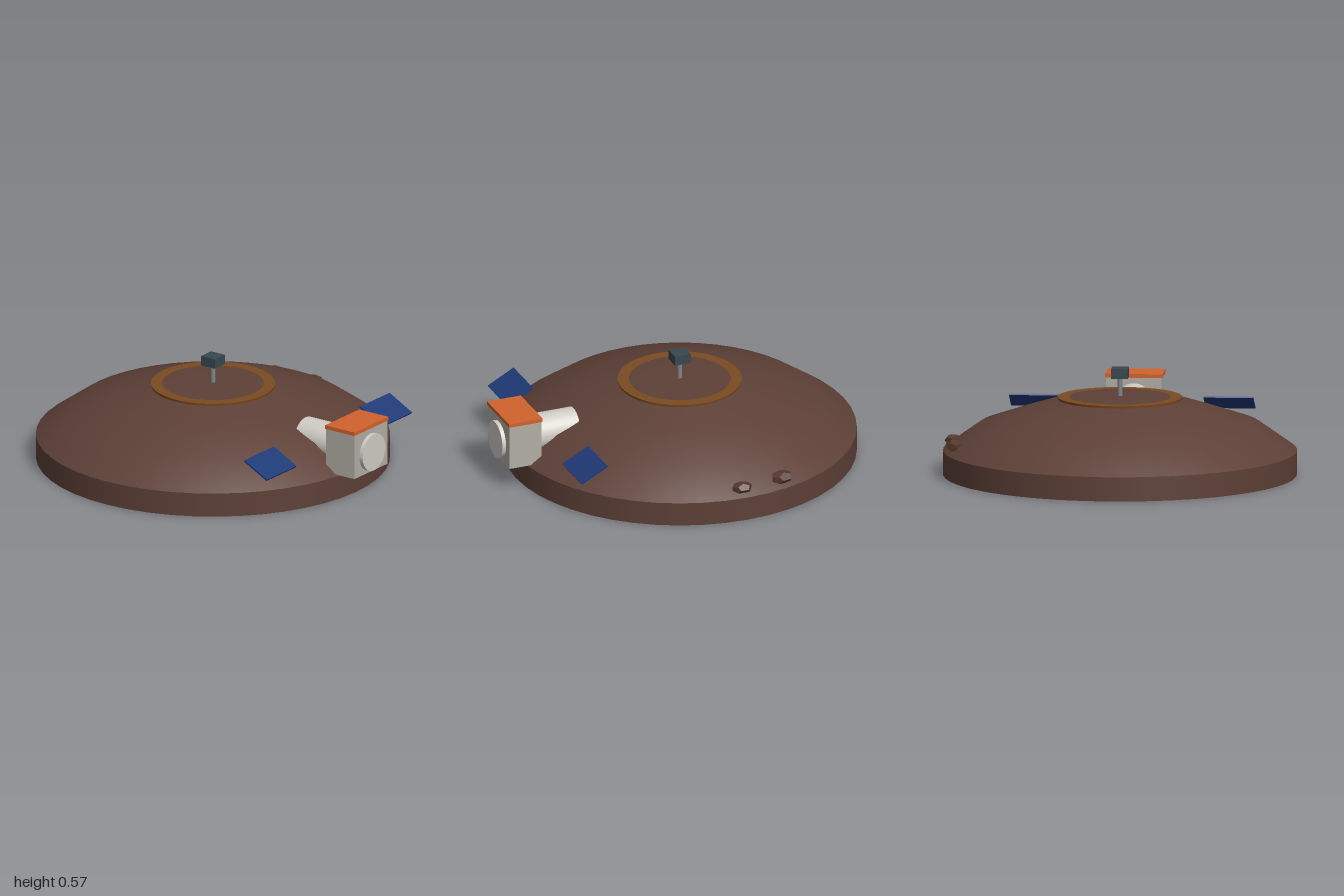
import * as THREE from 'three';

const material = (name, color, side = THREE.FrontSide) => {
  const m = new THREE.MeshStandardMaterial({ color, side });
  m.name = name;
  return m;
};

export function createModel() {
  const group = new THREE.Group();
  group.name = 'buriedHabitat';
  const soil = material('soilBrown', 0x5d4037, THREE.DoubleSide);
  const rockMat = material('rockBrown', 0x56392f);
  rockMat.flatShading = true;
  const rust = material('rustOrange', 0x7a4a20);
  const slate = material('darkSlate', 0x263238);
  const steel = material('steelGrey', 0x808588);
  const hullMat = material('hullGrey', 0xb2aea5);
  const tubeMat = material('paleGrey', 0xd0cdc5);
  const roofMat = material('brightOrange', 0xd2622d);
  const solarMat = material('solarBlue', 0x1f3a78);
  const headMat = material('sensorGrey', 0x37474f);

  const add = (name, geometry, mat, x, y, z) => {
    const mesh = new THREE.Mesh(geometry, mat);
    mesh.name = name;
    mesh.position.set(x, y, z);
    group.add(mesh);
    return mesh;
  };
  const box = (name, w, h, d, mat, x, y, z) =>
    add(name, new THREE.BoxGeometry(w, h, d), mat, x, y, z);
  const lathe = (name, pts, mat) =>
    add(name, new THREE.LatheGeometry(pts.map(p => new THREE.Vector2(...p)), 48), mat, 0, 0, cz);

  // Open-bottomed mound: upright skirt and domed cover
  const cz = -0.06;
  lathe('skirtWall', [[0.94, 0], [0.94, 0.13]], soil);
  lathe('domeCover', [[0.94, 0.13], [0.75, 0.265], [0.52, 0.343], [0.33, 0.402],
    [0.265, 0.416], [0.13, 0.419], [0, 0.42]], soil);

  // Inner core whose upper edge shows as a ring around the crown
  add('coreHousing', new THREE.CylinderGeometry(0.33, 0.29, 0.24, 48), rust, 0, 0.295, cz);
  add('coreFloor', new THREE.CylinderGeometry(0.29, 0.29, 0.006, 48), slate, 0, 0.172, cz);

  // Sensor mast
  add('mast', new THREE.CylinderGeometry(0.013, 0.013, 0.352, 12), steel, 0, 0.342, cz);
  box('sensorHead', 0.09, 0.053, 0.09, headMat, 0, 0.543, cz);

  // Entry tunnel, airlock and roof
  const tunnel = add('entryTunnel', new THREE.CylinderGeometry(0.102, 0.102, 0.45, 32), tubeMat, 0, 0.25, 0.775);
  tunnel.rotation.x = Math.PI / 2;
  box('airlock', 0.296, 0.245, 0.185, hullMat, 0, 0.2595, 0.886);
  box('airlockRoof', 0.306, 0.02, 0.193, roofMat, 0, 0.392, 0.886);

  // Tilted solar panels
  for (const side of [-1, 1]) {
    const panel = box(side > 0 ? 'leftSolarPanel' : 'rightSolarPanel',
      0.265, 0.009, 0.168, solarMat, side * 0.518, 0.272, 0.697);
    panel.rotation.x = 0.49;
  }

  // Rocks: x, y, z, radius
  const rocks = [
    [0.86, 0.175, -0.29, 0.066], [0.89, 0.17, -0.05, 0.058],
    [0.275, 0.17, -0.71, 0.06], [-0.02, 0.17, -0.63, 0.07],
    [-0.665, 0.17, -0.496, 0.052], [-0.548, 0.17, -0.256, 0.074],
    [-0.605, 0.17, -0.27, 0.078], [-0.662, 0.17, 0.018, 0.056],
    [0.26, 0.17, 0.224, 0.048], [-0.037, 0.17, 0.377, 0.042],
    [-0.24, 0.17, 0.406, 0.042], [-0.316, 0.17, 0.473, 0.038],
  ];
  rocks.forEach(([x, y, z, r], i) => {
    const rock = add('rock' + (i + 1), new THREE.DodecahedronGeometry(r, 0), rockMat, x, y, z);
    rock.scale.set(0.8, 0.52, 1);
    rock.rotation.y = i < 2 ? 0.25 * (1 - i) : i * 1.3;
  });

  return group;
}
